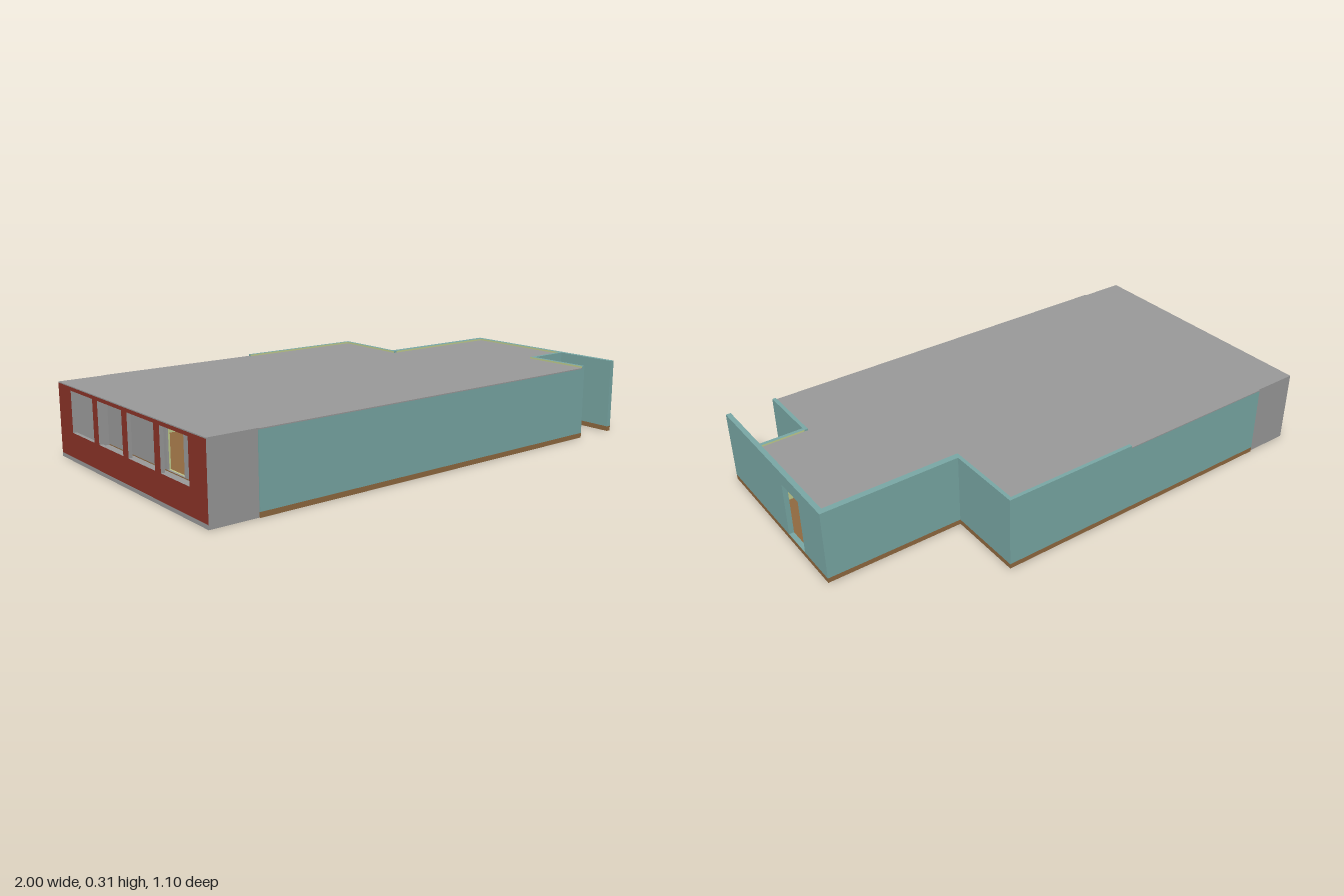
import * as THREE from 'three';

const mat = (name, color) => {
  const m = new THREE.MeshStandardMaterial({ color });
  m.name = name;
  return m;
};

export function createModel() {
  const teal = mat('teal wall', 0x7aa9a6);
  const grey = mat('grey', 0x9b9b9b);
  const wood = mat('brown floor', 0x916a40);
  const cream = mat('pale green interior', 0xc3cf90);
  const red = mat('red facade', 0x8c3428);

  const group = new THREE.Group();
  const add = (name, geometry, material) => {
    const mesh = new THREE.Mesh(geometry, material);
    mesh.name = name;
    group.add(mesh);
  };

  // Box from min/max extents; inner maps a face index (+x -x +y -y +z -z) to another material
  const box = (name, x0, x1, y0, y1, z0, z1, main, inner = {}) => {
    const g = new THREE.BoxGeometry(x1 - x0, y1 - y0, z1 - z0);
    g.translate((x0 + x1) / 2, (y0 + y1) / 2, (z0 + z1) / 2);
    add(name, g, [0, 1, 2, 3, 4, 5].map(i => inner[i] ?? main));
  };

  // Horizontal slab from an outline of [x, z] points
  const slab = (name, points, y0, y1, material) => {
    const shape = new THREE.Shape(points.map(p => new THREE.Vector2(...p)));
    const g = new THREE.ExtrudeGeometry(shape, { depth: y1 - y0, bevelEnabled: false });
    g.rotateX(Math.PI / 2).translate(0, y1, 0);
    add(name, g, material);
  };

  // Wall layer running along z, with rectangular openings [z0, z1, y0, y1]
  const rect = (T, z0, z1, y0, y1) => new T([[z0, y0], [z1, y0], [z1, y1], [z0, y1]]
    .map(p => new THREE.Vector2(...p)));
  const zWall = (name, x0, x1, z0, z1, y0, y1, openings, face, edge) => {
    const shape = rect(THREE.Shape, z0, z1, y0, y1);
    for (const o of openings) shape.holes.push(rect(THREE.Path, ...o));
    const g = new THREE.ExtrudeGeometry(shape, { depth: x1 - x0, bevelEnabled: false });
    g.rotateY(-Math.PI / 2).translate(x1, 0, 0);
    add(name, g, [face, edge]);
  };

  const base = 0.02, low = 0.294, roofTop = 0.298, high = 0.305;

  // Floors
  slab('floor', [[-0.81, -0.55], [0.44, -0.55], [0.44, -0.23], [1, -0.23], [1, 0.55],
    [0.98, 0.55], [0.98, 0.285], [0.805, 0.285], [0.805, 0.55], [-0.81, 0.55]], 0, base, wood);
  box('porchFloor', -1, -0.81, 0, 0.016, -0.545, 0.545, grey);

  // Roof, set inside the raised walls
  slab('roof', [[-1, -0.545], [-0.81, -0.545], [-0.81, -0.55], [-0.12, -0.55], [-0.12, -0.535],
    [0.425, -0.535], [0.425, -0.205], [0.98, -0.205], [0.98, 0.27], [0.79, 0.27],
    [0.79, 0.55], [-0.81, 0.55], [-0.81, 0.545], [-1, 0.545]], low, roofTop, grey);

  // Outer walls, pale on the room side
  box('frontWall', -0.81, 0.79, base, low, 0.535, 0.55, teal, { 5: cream });
  box('backWall', -0.81, -0.12, base, low, -0.55, -0.535, teal, { 4: cream });
  box('raisedBackWall', -0.12, 0.44, base, high, -0.55, -0.535, teal, { 4: cream });
  box('backStepWall', 0.425, 0.44, base, high, -0.535, -0.205, teal, { 1: cream });
  box('wingBackWall', 0.44, 0.98, base, high, -0.23, -0.205, teal, { 4: cream });
  box('frontStepWall', 0.79, 0.805, base, high, 0.27, 0.55, teal, { 1: cream });
  box('wingFrontWall', 0.805, 0.98, base, high, 0.27, 0.285, teal, { 5: cream });

  // Entrance wall with doorway, running on past the wing as a screen
  const door = [-0.055, 0.075, base + 0.001, 0.25];
  zWall('entranceWall', 0.984, 1, -0.23, 0.55, base, high, [door], teal, teal);
  zWall('entranceWallLining', 0.98, 0.984, -0.23, 0.27, base, high, [door], cream, teal);
  box('screenWallLining', 0.98, 0.984, base, high, 0.27, 0.55, teal);

  // Partition between the hall and the porch
  const inner = [-0.055, 0.07, base + 0.001, 0.255];
  zWall('partition', -0.81, -0.802, -0.535, 0.535, base, low, [inner], grey, grey);
  zWall('partitionLining', -0.802, -0.795, -0.535, 0.535, base, low, [inner], cream, cream);

  // Porch: grey side walls and a red end facade with four windows
  for (const s of [-1, 1]) {
    box('porchSideWall', -0.985, -0.81, 0.016, low, s * 0.5375 - 0.0075, s * 0.5375 + 0.0075, grey);
  }
  const windows = [[-0.435, -0.25], [-0.21, -0.02], [0.02, 0.21], [0.25, 0.435]]
    .map(([a, b]) => [a, b, 0.115, 0.28]);
  zWall('facade', -1, -0.996, -0.545, 0.545, 0.016, low, windows, red, grey);
  zWall('facadeInside', -0.996, -0.985, -0.545, 0.545, 0.016, low, windows, grey, grey);

  return group;
}
